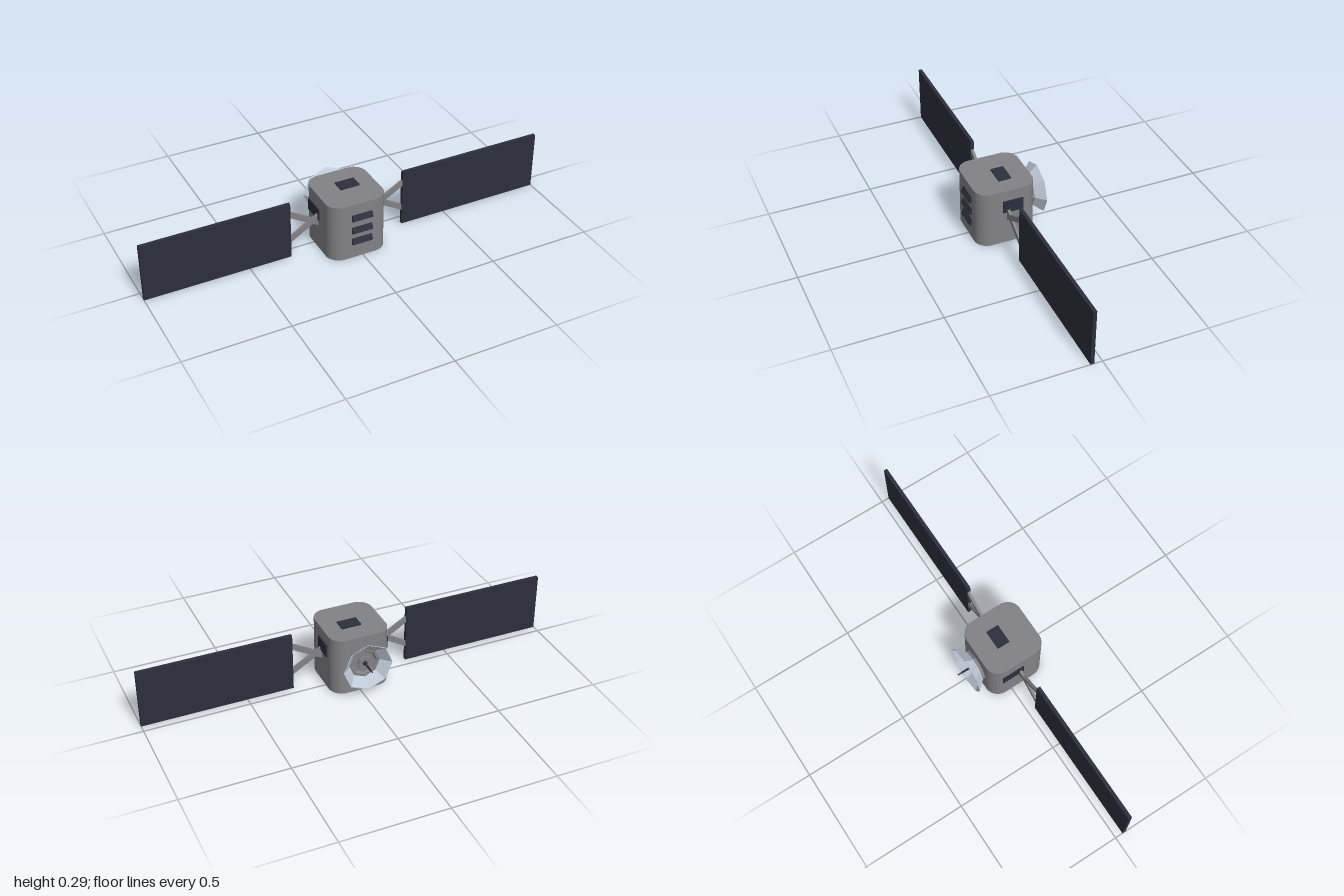
import * as THREE from 'three';
import { toCreasedNormals } from 'three/addons/utils/BufferGeometryUtils.js';

const mat = (name, color) => {
  const m = new THREE.MeshStandardMaterial({ color });
  m.name = name;
  return m;
};

export function createModel() {
  const grey = mat('hull grey', 0x828286);
  const dark = mat('panel navy', 0x2e2e3d);
  const pale = mat('dish pale blue', 0xc0cad8);

  const model = new THREE.Group();
  model.name = 'satellite';
  const CX = -0.0125, H = 0.286;

  const add = (name, geometry, material, x = 0, y = 0, z = 0) => {
    const mesh = new THREE.Mesh(geometry, material);
    mesh.name = name;
    mesh.position.set(x, y, z);
    model.add(mesh);
    return mesh;
  };
  const box = (name, material, size, pos) =>
    add(name, new THREE.BoxGeometry(...size), material, ...pos);

  // Hull: a square with rounded corners, extruded upwards
  const a = 0.143, r = 0.065;
  const outline = new THREE.Shape();
  outline.absarc(a - r, a - r, r, 0, Math.PI / 2);
  outline.absarc(r - a, a - r, r, Math.PI / 2, Math.PI);
  outline.absarc(r - a, r - a, r, Math.PI, Math.PI * 1.5);
  outline.absarc(a - r, r - a, r, Math.PI * 1.5, Math.PI * 2);
  outline.closePath();
  const hull = new THREE.ExtrudeGeometry(outline, { depth: H, bevelEnabled: false, curveSegments: 10 });
  hull.rotateX(-Math.PI / 2);
  add('hull', toCreasedNormals(hull, 0.6), grey, CX, 0, 0.044);

  // Hatches on the roof and both sides
  box('roofHatch', dark, [0.095, 0.008, 0.062], [0.002, 0.288, 0.026]);
  box('leftHatch', dark, [0.012, 0.06, 0.097], [0.132, 0.202, 0.0215]);
  box('rightHatch', dark, [0.008, 0.06, 0.11], [-0.156, 0.187, 0.007]);

  // Louvres on the front, lower edges tilted outwards
  for (const y of [0.217, 0.151, 0.091]) {
    const louvre = box('louvre', dark, [0.1, 0.036, 0.014], [-0.005, y, 0.187]);
    louvre.rotation.x = -0.5;
  }

  // Solar wings and their crossed struts
  const strut = (name, x0, y0, x1, y1) => {
    const bar = box(name, grey, [Math.hypot(x1 - x0, y1 - y0), 0.026, 0.013],
      [(x0 + x1) / 2, (y0 + y1) / 2, 0.045]);
    bar.rotation.z = Math.atan2(y1 - y0, x1 - x0);
  };
  for (const [side, inner, outer, root] of [['left', 0.275, 1, 0.125], ['right', -0.295, -1, -0.15]]) {
    box(side + 'Wing', dark, [Math.abs(outer - inner), H, 0.017], [(inner + outer) / 2, H / 2, 0.046]);
    const tip = inner + Math.sign(inner) * 0.008;
    strut(side + 'UpperStrut', root, 0.138, tip, 0.229);
    strut(side + 'LowerStrut', root, 0.178, tip, 0.086);
  }

  // Octagonal dish on the back: profiles of [radius, distance behind the centre]
  const turned = (name, material, profile, sides = 8) => {
    const g = new THREE.LatheGeometry(profile.map(p => new THREE.Vector2(...p)), sides);
    g.rotateX(-Math.PI / 2);
    return add(name, toCreasedNormals(g, 0.3), material, CX, 0.157, 0);
  };
  turned('dishBase', grey, [[0, 0.102], [0.079, 0.102], [0.079, 0.117], [0.062, 0.117], [0.055, 0.108], [0, 0.108]]);
  turned('dishHub', grey, [[0, 0.098], [0.033, 0.098], [0.033, 0.121], [0, 0.121]]);
  turned('dish', pale, [[0.074, 0.116], [0.079, 0.116], [0.121, 0.159], [0.117, 0.159], [0.074, 0.116]]);
  turned('antenna', dark, [[0, 0.115], [0.012, 0.115], [0.012, 0.124], [0.005, 0.126],
    [0.005, 0.18], [0.003, 0.182], [0.003, 0.201], [0, 0.201]]);

  return model;
}
